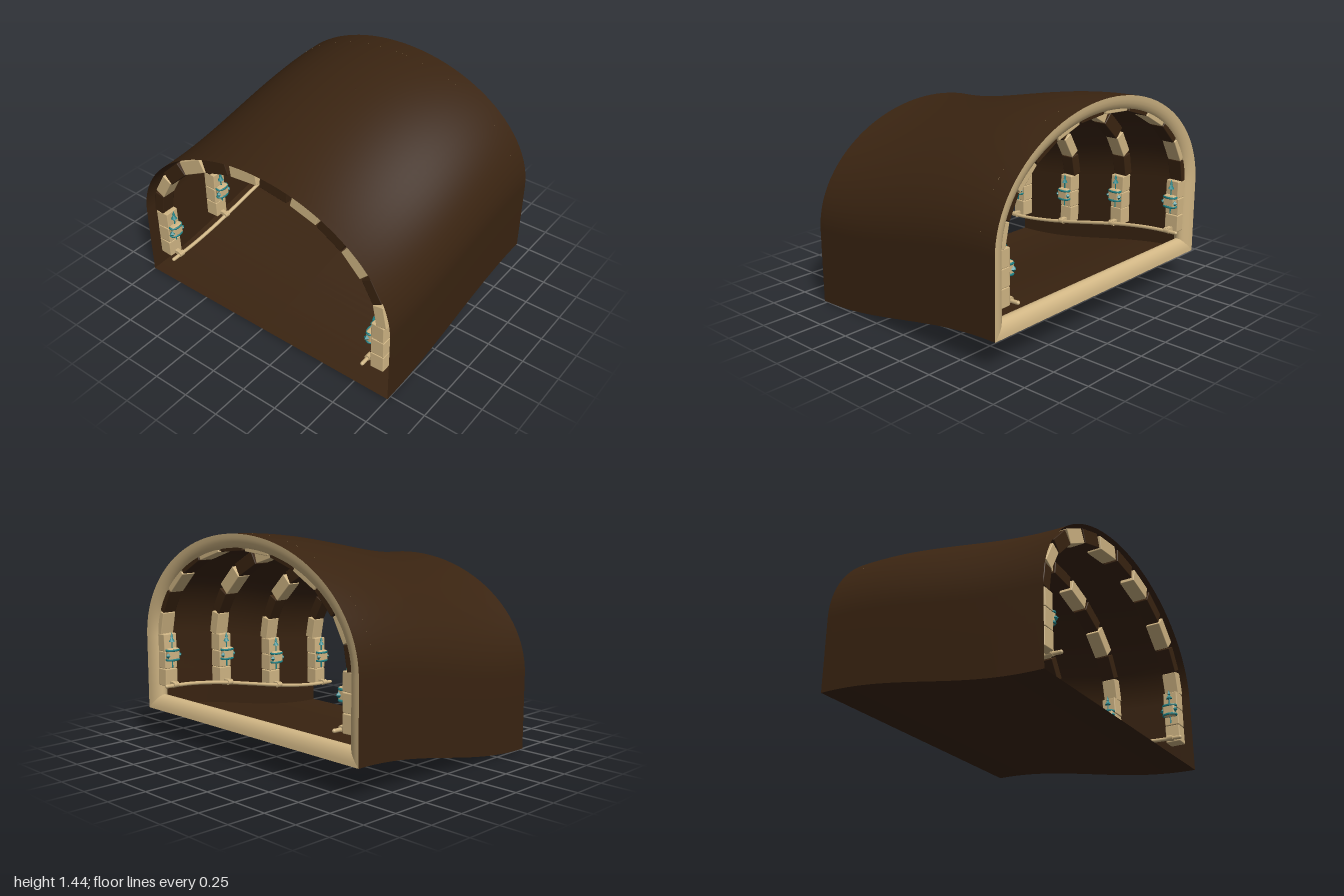
import * as THREE from 'three';
import { RoundedBoxGeometry } from 'three/addons/geometries/RoundedBoxGeometry.js';

const HALF = 0.78, WALL = 0.5, RISE = 0.74;

// The whole tunnel climbs 0.2 from front to back along an S-curve.
const lift = z => 0.1 * (1 - Math.cos(Math.PI * THREE.MathUtils.clamp((HALF - z) / (2 * HALF), 0, 1)));

// Cross-section pieces, inset by d: the flat floor, and the walls with the arch.
const floorLine = d => [[d - 1, d], [0, d], [1 - d, d]];
function vaultLine(d) {
  const pts = [[1 - d, d], [1 - d, 0.25]];
  for (let i = 0; i <= 48; i++) {
    const a = Math.PI * i / 48;
    pts.push([(1 - d) * Math.cos(a), WALL + (RISE - d) * Math.sin(a)]);
  }
  pts.push([d - 1, 0.25], [d - 1, d]);
  return pts;
}

// Skin a list of { d, z } stations with one cross-section piece.
function sweep(line, stations) {
  const pos = [], index = [], n = line(0).length;
  for (const { d, z } of stations)
    for (const [x, y] of line(d)) pos.push(x, y + lift(z), z);
  for (let j = 0; j < stations.length - 1; j++)
    for (let i = 0; i < n - 1; i++) {
      const a = j * n + i, b = a + n;
      index.push(a, b, a + 1, b, b + 1, a + 1);
    }
  const g = new THREE.BufferGeometry();
  g.setAttribute('position', new THREE.Float32BufferAttribute(pos, 3));
  g.setIndex(index);
  g.computeVertexNormals();
  return g;
}

// Seeded jitter in -1..1
let seed = 7;
function jitter() {
  seed = (seed * 16807) % 2147483647;
  return seed / 1073741823.5 - 1;
}

export function createModel() {
  const root = new THREE.Group();
  root.name = 'tunnel';
  const material = (name, color, side = THREE.FrontSide) => {
    const m = new THREE.MeshStandardMaterial({ color, side });
    m.name = name;
    return m;
  };
  const earth = material('dark earth', 0x3a2411, THREE.DoubleSide);
  const stone = material('sandstone', 0xd2b785, THREE.DoubleSide);
  const crystal = material('teal crystal', 0x1f8488);

  function add(parent, name, geometry, mat, x = 0, y = 0, z = 0) {
    const m = new THREE.Mesh(geometry, mat);
    m.name = name;
    m.position.set(x, y, z);
    parent.add(m);
    return m;
  }

  // Open shell
  const length = Array.from({ length: 33 }, (_, i) => ({ d: 0, z: HALF - 2 * HALF * i / 32 }));
  add(root, 'vault', sweep(vaultLine, length), earth);
  add(root, 'floor', sweep(floorLine, length), earth);

  // Rounded bead around the back opening
  const bead = Array.from({ length: 13 }, (_, i) => {
    const a = Math.PI * i / 12;
    return { d: 0.1 * Math.sin(a), z: -HALF + 0.06 * (1 - Math.cos(a)) };
  });
  add(root, 'backRimArch', sweep(vaultLine, bead), stone);
  add(root, 'backRimSill', sweep(floorLine, bead), stone);

  const blockGeo = new RoundedBoxGeometry(0.095, 0.118, 0.1, 1, 0.006);
  const lampGeo = new RoundedBoxGeometry(0.05, 0.09, 0.09, 1, 0.015);
  const bandGeo = new THREE.TorusGeometry(0.047, 0.008, 6, 12);
  const stemGeo = new THREE.CylinderGeometry(0.005, 0.005, 0.22, 6);
  const tipGeo = new THREE.ConeGeometry(0.022, 0.035, 6);
  const gemGeo = new THREE.OctahedronGeometry(0.02);
  const brickX = [0.12, 0.35, 0.55, 0.72, 0.84, 0.9];
  const brickLength = [0.21, 0.2, 0.2, 0.19, 0.17, 0.155];

  // Four ribs: a brick arch on two pillars, each pillar with a crystal lamp
  for (const z of [0.7, 0.233, -0.233, -0.7]) {
    const rib = new THREE.Group();
    rib.name = 'rib';
    rib.position.set(0, lift(z), z);
    root.add(rib);

    for (const s of [1, -1]) {
      // Arch bricks alternate between dark and pale along the span
      brickX.forEach((x, i) => {
        const c = Math.sqrt(1 - (x / 0.91) ** 2);
        const geo = new RoundedBoxGeometry(brickLength[i], i > 3 ? 0.075 : 0.095, 0.1, 1, 0.005);
        const dark = (i % 2 === 0) === (s > 0);
        const brick = add(rib, 'archBrick', geo, i === 5 && s > 0 ? stone : dark ? earth : stone,
          s * x, 0.5 + 0.68 * c, 0);
        brick.rotation.z = -s * Math.atan2(0.68 * x / 0.91, 0.91 * c) + 0.03 * jitter();
      });

      // Pillar blocks
      for (let k = 0; k < 3; k++) {
        const block = add(rib, 'pillarBlock', blockGeo, stone, s * 0.89, 0.225 + 0.12 * k, 0);
        block.rotation.set(0.02 * jitter(), 0.06 * jitter(), 0.02 * jitter());
      }

      // Wall lamp: stone body, crystal bands, stem and tip
      const lamp = new THREE.Group();
      lamp.name = 'crystalLamp';
      lamp.position.set(s * 0.822, 0.385, 0);
      rib.add(lamp);
      add(lamp, 'lampBody', lampGeo, stone);
      for (const y of [-0.035, 0.03]) {
        const band = add(lamp, 'lampBand', bandGeo, crystal, 0, y, 0);
        band.rotation.x = Math.PI / 2;
        band.scale.x = 0.65;
      }
      add(lamp, 'lampStem', stemGeo, crystal, s * 0.006, 0.02, 0);
      add(lamp, 'lampTip', tipGeo, crystal, s * 0.006, 0.105, 0);
      add(lamp, 'lampTopTip', tipGeo, crystal, s * 0.006, 0.135, 0).scale.set(0.5, 1, 0.5);
      for (const gz of [-0.045, 0.045])
        add(lamp, 'lampGem', gemGeo, crystal, -s * 0.012, -0.005, gz);

      // Bracket that carries the rail
      add(rib, 'railBracket', new THREE.BoxGeometry(0.07, 0.025, 0.03), stone, s * 0.825, 0.185, 0);
      add(rib, 'railCollar', new THREE.CylinderGeometry(0.02, 0.02, 0.04, 8).rotateX(Math.PI / 2),
        stone, s * 0.8, 0.18, 0);
    }
  }

  // Side rails following the climb
  for (const s of [1, -1]) {
    const path = new THREE.CatmullRomCurve3(Array.from({ length: 9 }, (_, i) => {
      const z = 0.77 - 1.54 * i / 8;
      return new THREE.Vector3(s * 0.8, 0.175 + lift(z), z);
    }));
    add(root, 'sideRail', new THREE.TubeGeometry(path, 32, 0.013, 8), stone);
    for (const t of [0, 1]) {
      const p = path.getPoint(t);
      add(root, 'railEnd', new THREE.SphereGeometry(0.013, 8, 6), stone, p.x, p.y, p.z);
    }
  }
  return root;
}
